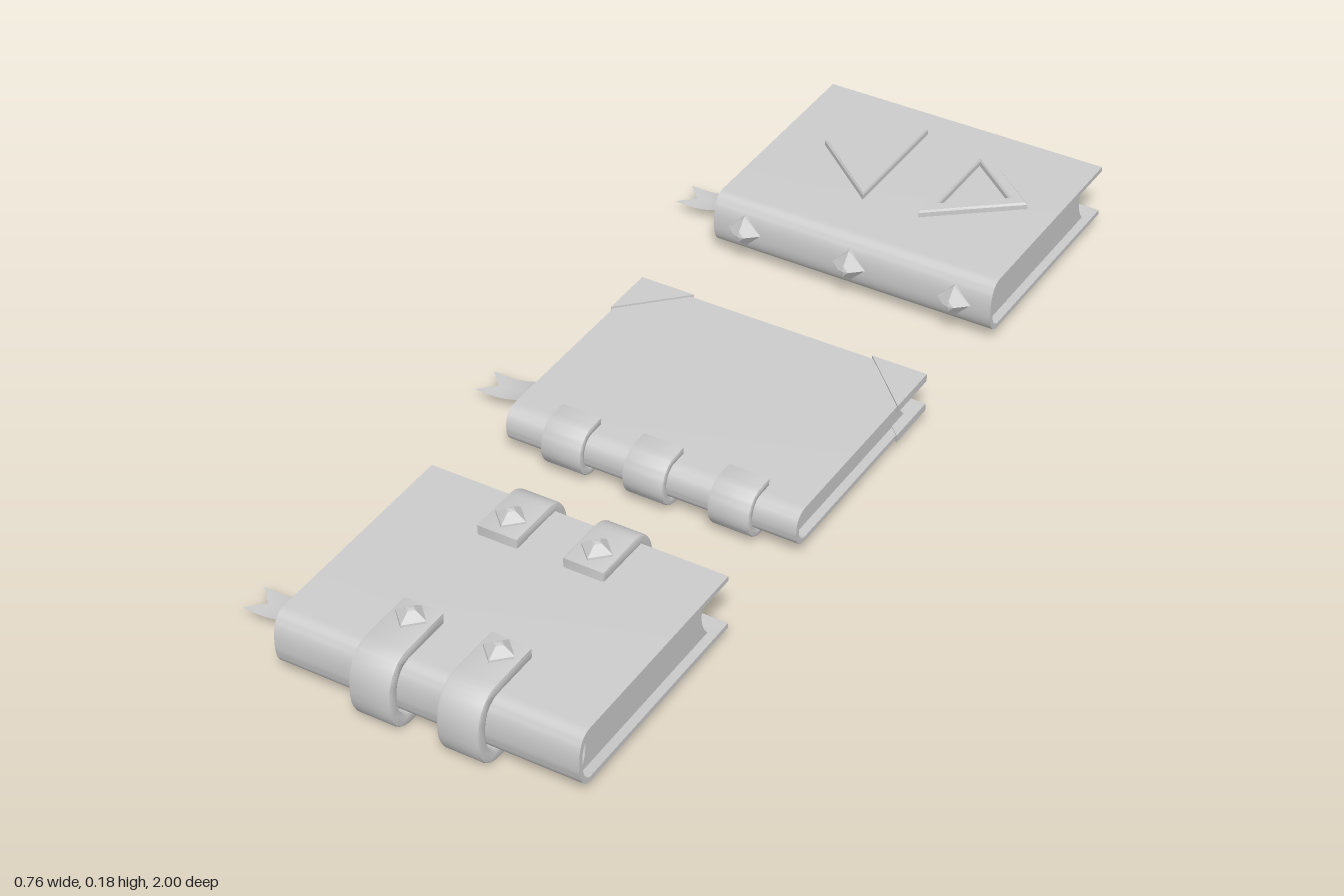
import * as THREE from 'three';
import { toCreasedNormals } from 'three/addons/utils/BufferGeometryUtils.js';

const MID = 0.07;                       // centre of the books along x
const X0 = -0.235, X1 = 0.375;          // cover ends
const material = new THREE.MeshStandardMaterial({ color: 0xcccccc });
const twoSided = new THREE.MeshStandardMaterial({ color: 0xcccccc, side: THREE.DoubleSide });
const faceted = new THREE.MeshStandardMaterial({ color: 0xcccccc, flatShading: true });

function add(parent, name, geometry, mat = material) {
  const mesh = new THREE.Mesh(geometry, mat);
  mesh.name = name;
  parent.add(mesh);
  return mesh;
}

// Extrude a [z, y] outline along x, from xa to xb
function extrudeX(shape, xa, xb, bevel = 0) {
  const geo = new THREE.ExtrudeGeometry(shape, {
    depth: xb - xa - 2 * bevel, bevelEnabled: bevel > 0, bevelSize: bevel,
    bevelThickness: bevel, bevelOffset: -bevel, bevelSegments: 2, curveSegments: 12,
  });
  geo.translate(0, 0, xa + bevel).rotateY(Math.PI / 2);
  return toCreasedNormals(geo, 0.7);
}

// Rounded end of a U: half superellipse from the bottom (y0) to the top (y1)
function roundEnd(tip, depth, y0, y1, power) {
  const pts = [];
  for (let i = 0; i <= 18; i++) {
    const a = -Math.PI / 2 + (Math.PI * i) / 18;
    const c = Math.max(0, Math.cos(a)), s = Math.sin(a);
    pts.push([tip - depth + depth * c ** (2 / power),
      (y0 + y1) / 2 + ((y1 - y0) / 2) * Math.sign(s) * Math.abs(s) ** (2 / power)]);
  }
  return pts;
}

// U-shaped strip lying on its side: open at z = open, closed at z = tip
function uShape(open, tip, y0, y1, t, depth, power = 2) {
  const dir = Math.sign(tip - open);
  const d = depth * dir;
  const outer = [[open, y0], ...roundEnd(tip, d, y0, y1, power), [open, y1]];
  const inner = [[open, y0 + t], ...roundEnd(tip - t * dir, d - t * dir, y0 + t, y1 - t, power), [open, y1 - t]];
  return new THREE.Shape([...outer, ...inner.reverse()].map(([z, y]) => new THREE.Vector2(-z, y)));
}

// Four-sided pointed stud with its base at y = 0
function stud(radius, height) {
  const profile = [[0, 0], [radius, 0], [radius * 0.95, height * 0.3], [radius * 0.3, height * 0.92], [0, height]];
  return new THREE.LatheGeometry(profile.map(p => new THREE.Vector2(...p)), 4);
}

// Flat triangle plate, optionally with a triangular opening, from [x, z] corners
function triangle(corners, y, height, hole = 0, bevel = 0) {
  const v = corners.map(([x, z]) => new THREE.Vector2(x, -z));
  const shape = new THREE.Shape(v);
  if (hole) {
    const c = v[0].clone().add(v[1]).add(v[2]).divideScalar(3);
    shape.holes.push(new THREE.Path(v.map(p => p.clone().lerp(c, hole))));
  }
  return new THREE.ExtrudeGeometry(shape, {
    depth: height - bevel, bevelEnabled: bevel > 0, bevelSize: bevel,
    bevelThickness: bevel, bevelOffset: -bevel, bevelSegments: 1,
  }).rotateX(-Math.PI / 2).translate(0, y, 0);
}

// Ribbon running out of the pages with a swallowtail end
function ribbon(z) {
  const path = new THREE.CatmullRomCurve3([[-0.1, 0.07], [-0.2, 0.067], [-0.25, 0.052], [-0.29, 0.035],
    [-0.33, 0.026], [-0.38, 0.026]].map(([x, y]) => new THREE.Vector3(x, y, 0)));
  const geo = new THREE.PlaneGeometry(1, 1, 24, 2);
  const pos = geo.attributes.position;
  for (let i = 0; i < pos.count; i++) {
    const u = 0.5 - pos.getX(i), v = pos.getY(i);
    const p = path.getPointAt(u * (v === 0 ? 0.89 : 1));
    pos.setXYZ(i, p.x, p.y, z + v * 0.066);
  }
  geo.computeVertexNormals();
  return geo;
}

// Cover, pages, hollow spine and ribbon; the spine faces +z
function makeBook(name, spineZ, y0, y1, ribbonZ) {
  const book = new THREE.Group();
  book.name = name;
  const t = 0.01, fore = spineZ - 0.485, mid = (y0 + y1) / 2;
  add(book, 'cover', extrudeX(uShape(fore, spineZ, y0, y1, t, 0.036, 2.4), X0, X1));

  // Page block, hollowed at the spine and at the fore edge
  const back = -(spineZ - 0.03), front = -(fore + 0.04), a = y0 + t, b = y1 - t;
  const pages = new THREE.Shape();
  pages.moveTo(back, a);
  pages.lineTo(front, a);
  pages.quadraticCurveTo(front - 0.04, mid, front, b);
  pages.lineTo(back, b);
  pages.quadraticCurveTo(back + 0.036, mid, back, a);
  add(book, 'pages', extrudeX(pages, X0 + 0.018, X1 - 0.018));
  add(book, 'ribbon', ribbon(ribbonZ), twoSided);
  return book;
}

export function createModel() {
  const group = new THREE.Group();
  group.name = 'books';

  // Front book with studded straps over the spine and fore edge
  const strapped = makeBook('strappedBook', 0.967, 0.025, 0.14, 0.835);
  for (const x of [-0.018, 0.158]) {
    for (const [open, tip, studZ] of [[0.83, 1, 0.868], [0.605, 0.44, 0.558]]) {
      add(strapped, 'strap', extrudeX(uShape(open, tip, 0, 0.16, 0.024, 0.065, 2.3), x - 0.042, x + 0.042, 0.005));
      add(strapped, 'strapStud', stud(0.033, 0.024), faceted).position.set(x, 0.157, studZ);
    }
  }
  group.add(strapped);

  // Middle book with spine bands and corner guards
  const banded = makeBook('bandedBook', 0.242, 0.028, 0.104, 0.095);
  for (const x of [-0.106, 0.068, 0.246]) {
    add(banded, 'spineBand', extrudeX(uShape(0.185, 0.262, 0.014, 0.118, 0.016, 0.045), x - 0.043, x + 0.043, 0.004));
  }
  for (const side of [-1, 1]) {
    for (const y of [0.024, 0.092]) {
      const x = MID + side * 0.308, leg = 0.115;
      add(banded, 'cornerGuard', triangle([[x, -0.247], [x - side * leg, -0.247], [x, -0.247 + leg]], y, 0.016));
    }
  }
  group.add(banded);

  // Rear book with triangular frames on the cover and studs on the spine
  const framed = makeBook('framedBook', -0.515, 0.027, 0.14, -0.642);
  for (const [flat, tip] of [[0.021, -0.138], [0.143, 0.314]]) {
    add(framed, 'triangleFrame',
      triangle([[flat, -0.93], [flat, -0.655], [tip, -0.79]], 0.137, 0.017, 0.36, 0.004));
  }
  for (const x of [-0.165, 0.068, 0.297]) {
    const gem = add(framed, 'spineStud', stud(0.037, 0.034), faceted);
    gem.position.set(x, 0.083, -0.523);
    gem.rotation.x = Math.PI / 2;
  }
  group.add(framed);
  return group;
}
